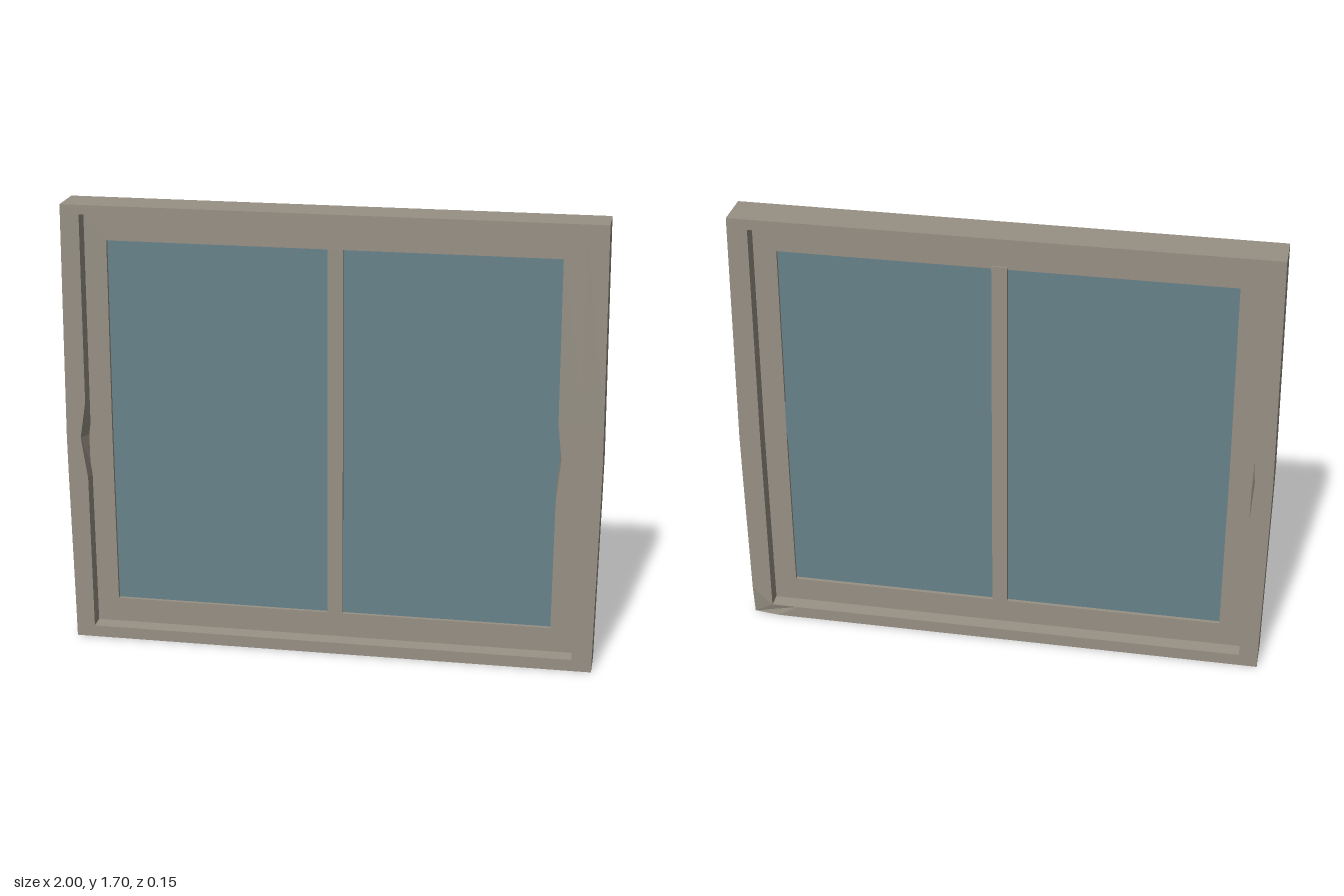
import * as THREE from 'three';

// Heights of the extra points up each side, with the weight of the side's bow there.
const SIDE = [[0.12, 0.12], [0.65, 0.85], [0.81, 1], [0.95, 0.85]];

// Anticlockwise rectangle with slightly bowed sides and optional chips halfway up.
function loop(l, r, b, t, z, { bow = 0, chipL = 0, chipR = 0, tilt = 0 } = {}) {
  const right = SIDE.map(([y, w]) => [r + bow * w + (w === 1 ? chipR : 0), Math.max(y, b + 0.05), z]);
  const left = SIDE.map(([y, w]) => [l - bow * w - (w === 1 ? chipL : 0), Math.max(y, b + 0.05), z]);
  return [[l, b, z], [r - 0.1, b, z], [r, b, z], ...right, [r, t - tilt, z], [l, t, z], ...left.reverse()];
}

// Joins a closed series of loops into a flat-faced hollow frame.
function frameGeometry(loops) {
  const pos = [];
  loops.forEach((A, k) => {
    const B = loops[(k + 1) % loops.length];
    A.forEach((a, i) => {
      const j = (i + 1) % A.length;
      pos.push(...a, ...A[j], ...B[j], ...a, ...B[j], ...B[i]);
    });
  });
  const g = new THREE.BufferGeometry();
  g.setAttribute('position', new THREE.Float32BufferAttribute(pos, 3));
  g.computeVertexNormals();
  return g;
}

export function createModel() {
  const group = new THREE.Group();
  const wood = new THREE.MeshStandardMaterial({ color: 0x979084 });
  wood.name = 'weathered wood';
  const glass = new THREE.MeshStandardMaterial({ color: 0x67828a });
  glass.name = 'blue glass';

  const add = (name, geometry, material) => {
    const mesh = new THREE.Mesh(geometry, material);
    mesh.name = name;
    group.add(mesh);
  };
  const addBox = (name, x0, x1, y0, y1, z0, z1, material) => {
    const g = new THREE.BoxGeometry(x1 - x0, y1 - y0, z1 - z0);
    g.translate((x0 + x1) / 2, (y0 + y1) / 2, (z0 + z1) / 2);
    add(name, g, material);
  };

  // Outer frame, with a chipped inner edge and a chipped back corner
  const D = 0.075;
  const outerBack = loop(-0.99, 0.99, 0, 1.7, -D, { bow: 0.01 });
  outerBack[2][2] = -0.062;
  add('outerFrame', frameGeometry([
    loop(-0.99, 0.99, 0, 1.7, D, { bow: 0.01 }),
    loop(-0.92, 0.915, 0.045, 1.665, D, { bow: 0.004, chipL: 0.022, tilt: 0.01 }),
    loop(-0.917, 0.913, 0.052, 1.655, 0, { bow: 0.004 }),
    loop(-0.92, 0.915, 0.047, 1.66, -D, { bow: 0.004, chipL: 0.01 }),
    outerBack,
  ]), wood);

  // Recessed sash around the panes
  const S = 0.022;
  add('sash', frameGeometry([
    loop(-0.93, 0.93, 0.03, 1.68, S),
    loop(-0.835, 0.83, 0.145, 1.56, S, { bow: 0.003, chipR: 0.015 }),
    loop(-0.835, 0.828, 0.145, 1.56, -S, { bow: 0.003 }),
    loop(-0.93, 0.93, 0.03, 1.68, -S),
  ]), wood);

  // Centre bar
  addBox('mullion', -0.015, 0.042, 0.135, 1.57, -0.028, 0.021, wood);

  // Two panes
  addBox('rightPane', -0.86, -0.01, 0.12, 1.58, -0.008, 0.008, glass);
  addBox('leftPane', 0.037, 0.86, 0.12, 1.58, -0.008, 0.008, glass);

  return group;
}
